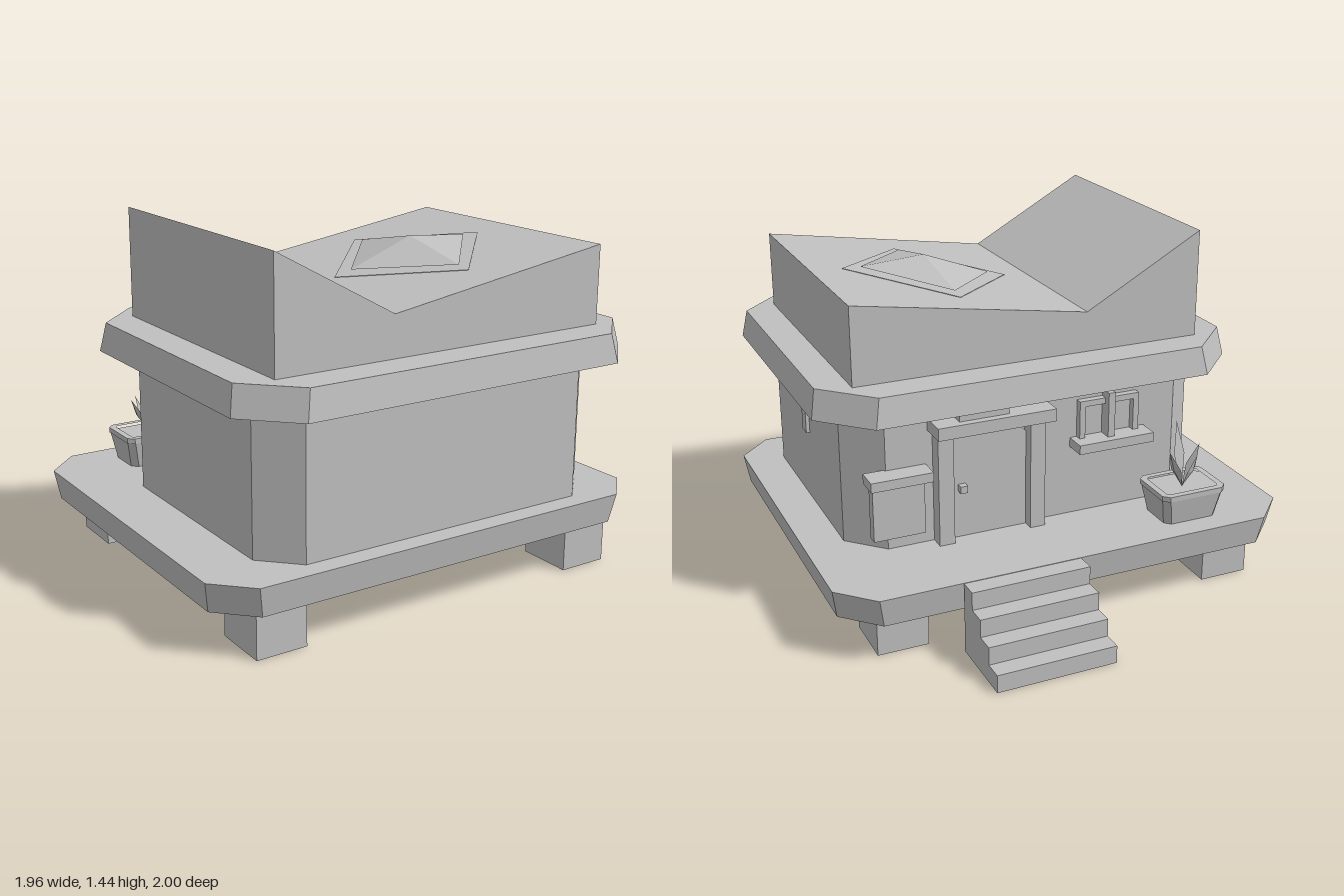
import * as THREE from 'three';
import { ConvexGeometry } from 'three/addons/geometries/ConvexGeometry.js';

export function createModel() {
  const house = new THREE.Group();
  house.name = 'porchHouse';
  const grey = new THREE.MeshStandardMaterial({ color: 0xbfbfbf });
  grey.name = 'plainGrey';

  const add = (name, geometry, parent = house) => {
    const mesh = new THREE.Mesh(geometry, grey);
    mesh.name = name;
    parent.add(mesh);
    return mesh;
  };
  const group = (name) => {
    const g = new THREE.Group();
    g.name = name;
    house.add(g);
    return g;
  };
  // Box given by its limits on each axis
  const box = (name, x0, x1, y0, y1, z0, z1, parent) =>
    add(name, new THREE.BoxGeometry(x1 - x0, y1 - y0, z1 - z0), parent)
      .position.set((x0 + x1) / 2, (y0 + y1) / 2, (z0 + z1) / 2);
  // Rectangle with cut corners, shrunk by an inset, at height y
  const ring = (x0, x1, z0, z1, cut, inset, y) => {
    const a = x0 + inset, b = x1 - inset, c = z0 + inset, d = z1 - inset;
    return [[a + cut, c], [b - cut, c], [b, c + cut], [b, d - cut],
      [b - cut, d], [a + cut, d], [a, d - cut], [a, c + cut]]
      .map(([x, z]) => new THREE.Vector3(x, y, z));
  };
  const prism = (name, x0, x1, z0, z1, cut, y0, y1, lowInset = 0, topInset = 0, parent) =>
    add(name, new ConvexGeometry([
      ...ring(x0, x1, z0, z1, cut, lowInset, y0),
      ...ring(x0, x1, z0, z1, cut, topInset, y1)]), parent);

  // Deck, walls and eave
  prism('deck', -0.98, 0.98, -0.69, 0.95, 0.14, 0.177, 0.298, 0.02, 0);
  prism('walls', -0.74, 0.815, -0.315, 0.865, 0.14, 0.298, 0.876);
  prism('eave', -0.867, 0.942, -0.455, 1.0, 0.192, 0.875, 0.993, 0, 0.021);

  // Corner footings
  for (const x of [-0.83, 0.612])
    for (const z of [-0.583, 0.67]) box('footing', x, x + 0.21, 0, 0.178, z, z + 0.232);

  // Stairs behind the deck
  const stairs = group('stairs');
  for (let i = 0; i < 4; i++)
    box('step', 0.01, 0.505, 0, 0.074 * (i + 1), -1 + i * 0.0775, -1 + (i + 1) * 0.0775, stairs);

  // Butterfly roof
  const profile = new THREE.Shape([[-0.705, 0.99], [0.787, 0.99], [0.787, 1.315], [-0.2, 1.16], [-0.705, 1.44]]
    .map(([x, y]) => new THREE.Vector2(x, y)));
  const roof = add('roof', new THREE.ExtrudeGeometry(profile, { depth: 1.125, bevelEnabled: false }));
  roof.position.z = -0.293;

  // Diamond skylight lying along the right slope
  const slopeY = (x, lift) => 1.16 + (x + 0.2) * 0.157 + lift;
  const diamond = (hx, hz, lift) => [[hx, 0], [0, hz], [-hx, 0], [0, -hz]]
    .map(([x, z]) => new THREE.Vector3(0.278 + x, slopeY(0.278 + x, lift), 0.258 + z));
  add('skylightFrame', new ConvexGeometry([...diamond(0.36, 0.39, -0.004), ...diamond(0.36, 0.39, 0.002)]));
  add('skylightGlass', new ConvexGeometry([...diamond(0.283, 0.33, 0.012), new THREE.Vector3(0.285, 1.312, 0.258)]));

  // Narrow strip on the side wall
  box('sideStrip', 0.81, 0.83, 0.605, 0.876, 0.245, 0.3);

  // Door with posts, lintel and knob
  const door = group('door');
  const panel = new THREE.Shape([[0.085, 0.298], [0.415, 0.298], [0.415, 0.71], [0.35, 0.78], [0.15, 0.78], [0.085, 0.71]]
    .map(([x, y]) => new THREE.Vector2(x, y)));
  add('doorPanel', new THREE.ExtrudeGeometry(panel, { depth: 0.02, bevelEnabled: false }), door).position.z = -0.33;
  for (const x of [0.02, 0.415]) box('doorPost', x, x + 0.065, 0.298, 0.78, -0.378, -0.31, door);
  box('lintel', 0, 0.5, 0.778, 0.83, -0.437, -0.31, door);
  box('lintelCap', 0.19, 0.4, 0.83, 0.876, -0.405, -0.36, door);
  box('knob', 0.35, 0.38, 0.5, 0.53, -0.36, -0.32, door);

  // Window with mullion and sill
  const win = group('window');
  box('windowSill', -0.46, -0.12, 0.598, 0.638, -0.41, -0.305, win);
  box('windowHead', -0.42, -0.15, 0.775, 0.8, -0.345, -0.31, win);
  for (const x of [-0.42, -0.175]) box('windowJamb', x, x + 0.025, 0.638, 0.8, -0.345, -0.31, win);
  box('mullion', -0.295, -0.265, 0.638, 0.83, -0.375, -0.31, win);

  // Wall shelf beside the door, with a leaning back board
  const shelf = group('wallShelf');
  box('shelfTop', 0.51, 0.765, 0.598, 0.638, -0.405, -0.305, shelf);
  box('shelfBoard', 0.53, 0.745, 0.36, 0.6, -0.355, -0.31, shelf);

  // Planter with a sunken bed
  const planter = group('planter');
  prism('planterBody', -0.7, -0.408, -0.612, -0.378, 0.025, 0.298, 0.415, 0.025, 0.003, planter);
  const rim = new THREE.Shape(ring(-0.7, -0.408, -0.612, -0.378, 0.025, 0, 0).map((p) => new THREE.Vector2(p.x, -p.z)));
  rim.holes.push(new THREE.Path(ring(-0.7, -0.408, -0.612, -0.378, 0.01, 0.027, 0).map((p) => new THREE.Vector2(p.x, -p.z))));
  const rimMesh = add('planterRim', new THREE.ExtrudeGeometry(rim, { depth: 0.022, bevelEnabled: false }), planter);
  rimMesh.rotation.x = -Math.PI / 2;
  rimMesh.position.y = 0.412;

  // Pointed leaves fanning from one root
  const root = new THREE.Vector3(-0.552, 0.415, -0.498);
  for (const [x, y, z] of [[-0.55, 0.685, -0.437], [-0.46, 0.6, -0.545], [-0.645, 0.58, -0.47], [-0.59, 0.57, -0.548]]) {
    const tip = new THREE.Vector3(x, y, z);
    const out = new THREE.Vector3(x - root.x, 0, z - root.z).normalize();
    const side = new THREE.Vector3(-out.z, 0, out.x);
    const mid = root.clone().lerp(tip, 0.5);
    add('leaf', new ConvexGeometry([root, tip,
      mid.clone().addScaledVector(side, 0.025),
      mid.clone().addScaledVector(side, -0.025),
      mid.clone().addScaledVector(out, 0.015)]), planter);
  }
  return house;
}
